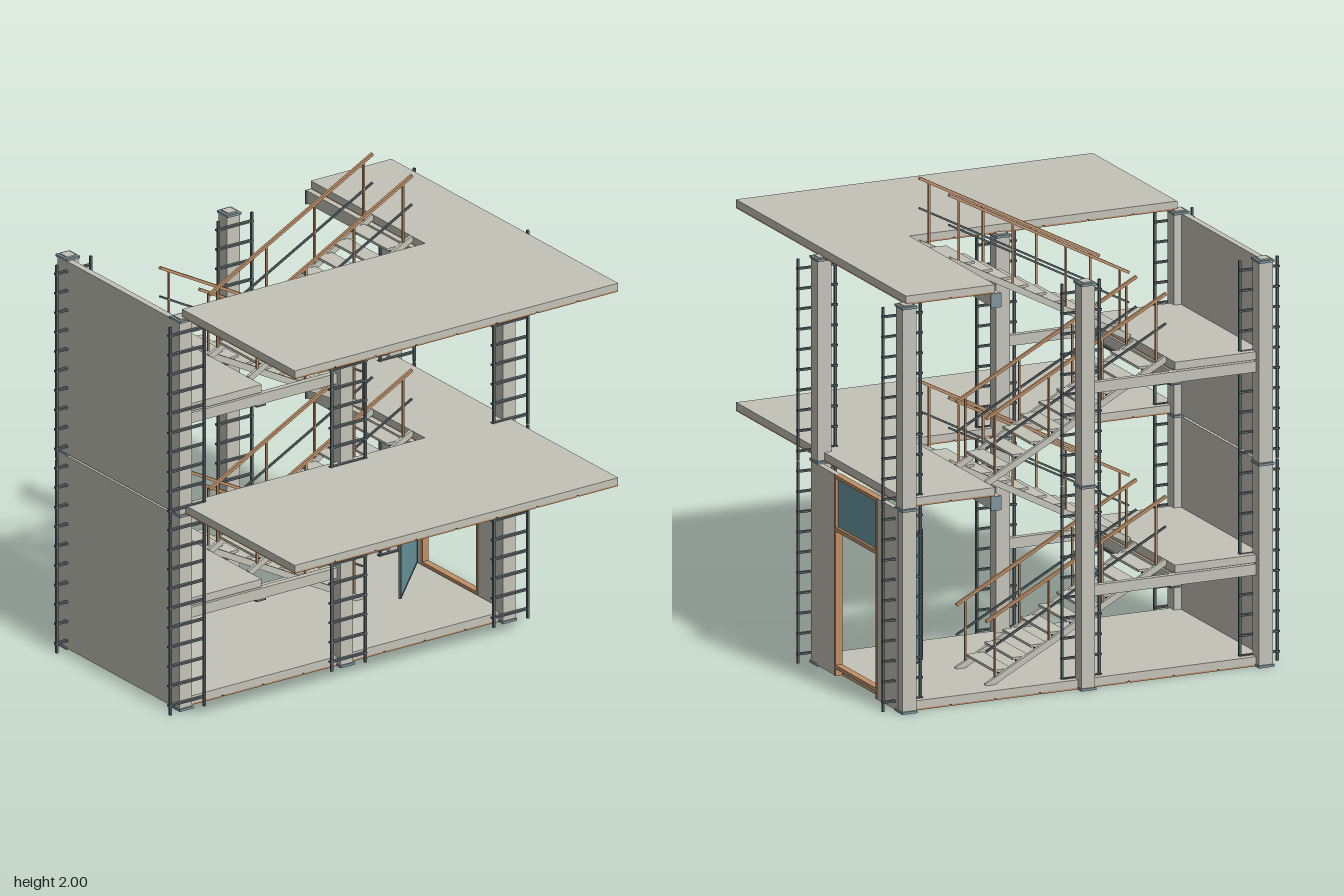
import * as THREE from 'three';

export function createModel() {
  const root = new THREE.Group();
  root.name = 'stairTower';
  const mat = (name, color) => {
    const m = new THREE.MeshStandardMaterial({ color });
    m.name = name;
    return m;
  };
  const concrete = mat('concrete', 0xc4c3b9);
  const wood = mat('wood', 0xc09068);
  const darkSteel = mat('darkSteel', 0x586266);
  const plateSteel = mat('plateSteel', 0x82959d);
  const glass = mat('glass', 0x6d9ca6);

  const group = (name, parent = root) => {
    const g = new THREE.Group();
    g.name = name;
    parent.add(g);
    return g;
  };
  // Box given by its minimum and maximum on each axis
  const box = (parent, name, m, x0, x1, y0, y1, z0, z1) => {
    const mesh = new THREE.Mesh(new THREE.BoxGeometry(x1 - x0, y1 - y0, z1 - z0), m);
    mesh.position.set((x0 + x1) / 2, (y0 + y1) / 2, (z0 + z1) / 2);
    mesh.name = name;
    parent.add(mesh);
    return mesh;
  };
  // Sloping bar in a plane of constant x
  const bar = (parent, name, m, x, ya, za, yb, zb, w, h) => {
    const len = Math.hypot(yb - ya, zb - za);
    const mesh = new THREE.Mesh(new THREE.BoxGeometry(w, h, len), m);
    mesh.position.set(x, (ya + yb) / 2, (za + zb) / 2);
    mesh.rotation.x = -Math.atan2(yb - ya, zb - za);
    mesh.name = name;
    parent.add(mesh);
  };

  const L = -0.775, R = 0.02, FAR = 0.805, BACK = -0.795, FRONT = 0.79;
  const storeys = [0, 0.845], storeyH = 0.845;

  // Timber boards under a slab, with narrow gaps between them
  const soffit = (parent, y, z0, z1, count, xStart, xEnd) => {
    const step = (z1 - z0) / count;
    for (let i = 0; i < count; i++) {
      const a = z0 + i * step;
      box(parent, 'soffitBoard', wood, xStart(a + step / 2), xEnd, y, y + 0.007,
        a + (i ? 0.004 : 0), a + step - (i < count - 1 ? 0.004 : 0));
    }
  };

  // Ground slab
  const ground = group('groundFloor');
  box(ground, 'groundSlab', concrete, L, R, 0.007, 0.04, BACK, FRONT);
  soffit(ground, 0, BACK, FRONT, 8, () => L, R);

  // L-shaped upper floor and roof, each with a header beam at the stair head
  for (const [name, y] of [['upperFloor', 0.85], ['roof', 1.695]]) {
    const floor = group(name);
    const shape = new THREE.Shape([
      [R, -FRONT], [FAR, -FRONT], [FAR, -BACK], [L, -BACK], [L, 0.4], [R, 0.4],
    ].map(([x, v]) => new THREE.Vector2(x, v)));
    const geo = new THREE.ExtrudeGeometry(shape, { depth: 0.029, bevelEnabled: false });
    geo.rotateX(-Math.PI / 2);
    const slab = new THREE.Mesh(geo, concrete);
    slab.position.y = y + 0.007;
    slab.name = name + 'Slab';
    floor.add(slab);
    soffit(floor, y, BACK, FRONT, 8, (z) => (z < -0.4 ? L : R), FAR);
    box(floor, 'headerBeam', concrete, L, R, y - 0.055, y, -0.415, -0.378);
    for (const x of [L, R]) {
      box(floor, 'beamEndPlate', plateSteel, x - 0.004, x + 0.004, y - 0.06, y, -0.419, -0.374);
    }
  }

  // Half landings on side beams
  for (const y of [0.465, 1.31]) {
    const landing = group('halfLanding');
    box(landing, 'landingSlab', concrete, L, R, y - 0.033, y, 0.4, FRONT);
    soffit(landing, y - 0.04, 0.4, FRONT, 2, () => L + 0.03, R - 0.03);
    for (const x of [L, R - 0.025]) {
      box(landing, 'sideBeam', concrete, x, x + 0.025, y - 0.085, y - 0.04, 0.02, 0.77);
    }
    box(landing, 'landingHeader', concrete, L, R, y - 0.085, y - 0.04, 0.39, 0.42);
    box(landing, 'headerFlange', darkSteel, L, R, y - 0.095, y - 0.085, 0.38, 0.425);
  }

  // Columns with joint plates and climbing trellises
  for (const cx of [-0.775, 0.015]) {
    for (const cz of [-0.795, 0, 0.79]) {
      const column = group('column');
      for (const y of storeys) {
        box(column, 'columnShaft', concrete, cx - 0.03, cx + 0.03, y + 0.008, y + storeyH - 0.006,
          cz - 0.031, cz + 0.031);
        const tx = cx + 0.041;
        for (const s of [-1, 1]) {
          const z = cz + s * 0.083;
          box(column, 'trellisRod', darkSteel, tx - 0.005, tx + 0.005, y, y + storeyH - 0.005,
            z - 0.005, z + 0.005);
        }
        for (let i = 0; i < 10; i++) {
          const ry = y + 0.04 + i * 0.0845;
          box(column, 'trellisRung', darkSteel, tx - 0.012, tx + 0.003, ry - 0.004, ry + 0.004,
            cz - 0.09, cz + 0.09);
        }
      }
      for (const y of [0, 0.841, 1.685]) {
        box(column, 'jointPlate', plateSteel, cx - 0.037, cx + 0.037, y, y + 0.01,
          cz - 0.034, cz + 0.034);
      }
      box(column, 'columnCap', concrete, cx - 0.025, cx + 0.025, 1.695, 1.7, cz - 0.022, cz + 0.022);
    }
  }

  // Front wall panels, one per storey
  for (const y of storeys) {
    box(root, 'frontWallPanel', concrete, -0.765, 0, y + 0.005, y + storeyH - 0.003, 0.792, 0.82);
  }

  // Back wall with door frame, transom and open glass door
  const backWall = group('backWall');
  const zb0 = -0.828, zb1 = -0.803;
  box(backWall, 'wallPanel', concrete, -0.77, -0.578, 0.005, 0.842, zb0, zb1);
  box(backWall, 'wallPanel', concrete, -0.182, -0.01, 0.005, 0.842, zb0, zb1);
  for (const x of [-0.578, -0.194]) {
    box(backWall, 'doorJamb', wood, x, x + 0.012, 0.005, 0.842, zb0 - 0.003, zb1 + 0.003);
  }
  for (const [y0, y1] of [[0.035, 0.05], [0.608, 0.625], [0.828, 0.842]]) {
    box(backWall, 'frameRail', wood, -0.566, -0.194, y0, y1, zb0 - 0.003, zb1 + 0.003);
  }
  box(backWall, 'transomGlass', glass, -0.566, -0.194, 0.625, 0.828, -0.82, -0.812);
  const door = group('glassDoor', backWall);
  door.position.set(-0.565, 0, -0.77);
  door.rotation.y = -Math.PI / 4;
  box(door, 'doorGlass', glass, 0.006, 0.384, 0.064, 0.596, -0.004, 0.004);
  for (const x of [0, 0.384]) {
    box(door, 'doorEdge', darkSteel, x, x + 0.006, 0.058, 0.602, -0.006, 0.006);
  }
  for (const y of [0.058, 0.596]) {
    box(door, 'doorEdge', darkSteel, 0.006, 0.384, y, y + 0.006, -0.006, 0.006);
  }

  // One stair flight: climbs from z = za to z = -za
  const flight = (xs, y0, y1, za) => {
    const g = group('stairFlight');
    const yAt = (t) => y0 + (y1 - y0) * t;
    const zAt = (t) => za * (1 - 2 * t);
    for (const x of xs) {
      const line = (name, m, off, w, h) => bar(g, name, m, x, y0 + off, za, y1 + off, -za, w, h);
      line('stringer', concrete, -0.005, 0.014, 0.026);
      line('midRail', darkSteel, 0.14, 0.008, 0.008);
      line('handrail', wood, 0.265, 0.012, 0.012);
      for (const t of [0.05, 0.35, 0.645, 0.945]) {
        box(g, 'railPost', wood, x - 0.004, x + 0.004, yAt(t), yAt(t) + 0.262,
          zAt(t) - 0.004, zAt(t) + 0.004);
      }
    }
    for (let i = 1; i < 10; i++) {
      const y = yAt(i / 10), z = zAt(i / 10);
      box(g, 'tread', concrete, xs[0] + 0.007, xs[1] - 0.007, y + 0.004, y + 0.014,
        z - 0.038, z + 0.038);
      for (const x of [xs[0] + 0.007, xs[1] - 0.022]) {
        box(g, 'treadBracket', darkSteel, x, x + 0.015, y - 0.006, y + 0.004, z - 0.02, z + 0.02);
      }
    }
  };
  for (const y of storeys) {
    flight([-0.69, -0.415], y + 0.04, y + 0.465, -0.4);
    flight([-0.345, -0.07], y + 0.465, y + 0.885, 0.4);
  }
  return root;
}
